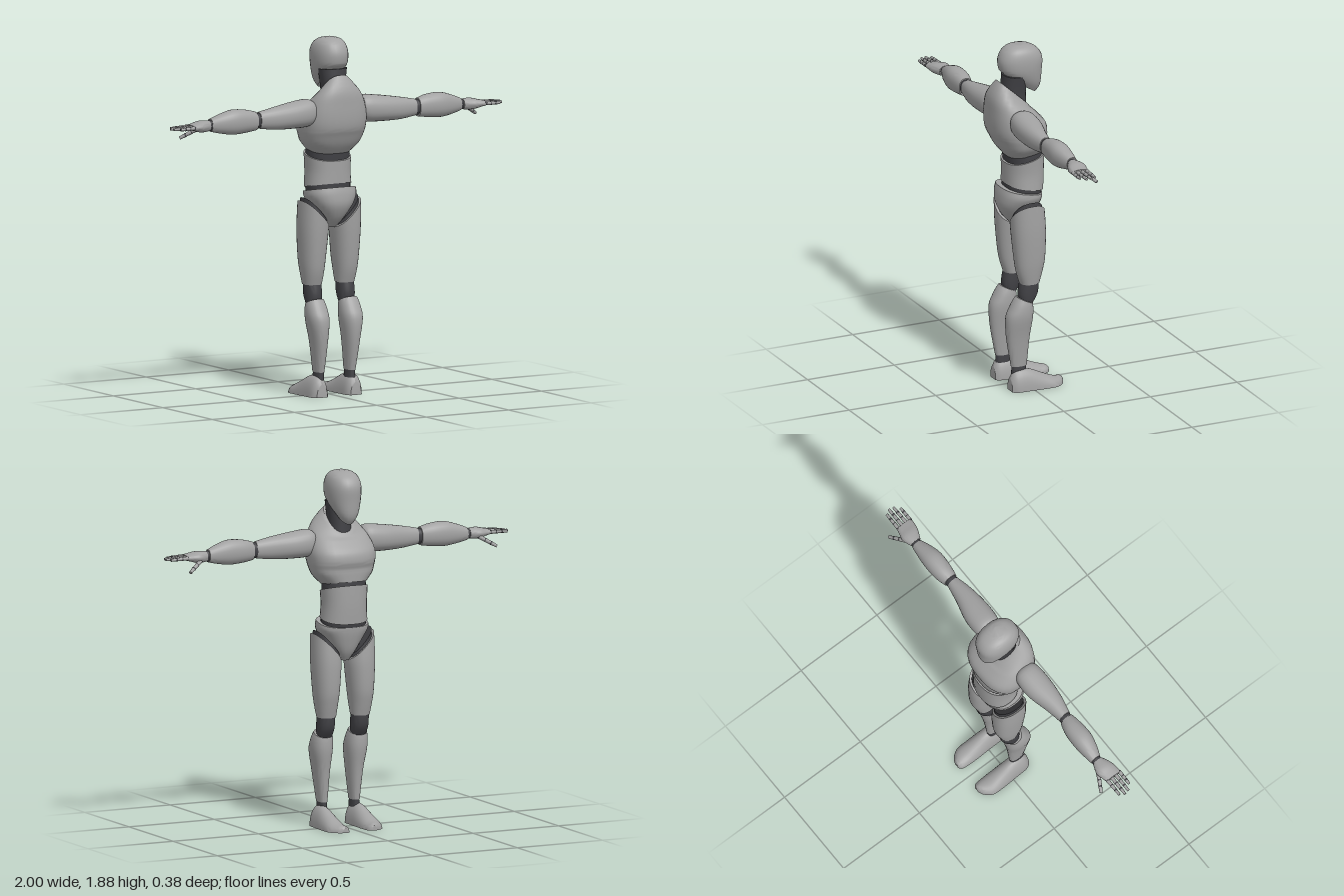
import * as THREE from 'three';
import { toCreasedNormals } from 'three/addons/utils/BufferGeometryUtils.js';

const shell = new THREE.MeshStandardMaterial({ color: 0xa2a2a2 });
shell.name = 'shellGrey';
const joint = new THREE.MeshStandardMaterial({ color: 0x414145 });
joint.name = 'jointDarkGrey';

// Where (pos, a, b) of a cross-section go for each loft axis
const AXES = { x: (p, a, b) => [p, b, a], y: (p, a, b) => [a, p, b], z: (p, a, b) => [b, a, p] };

// Catmull-Rom blend of one column of the section table
function blend(rows, k, i, t) {
  const v = j => rows[Math.min(Math.max(j, 0), rows.length - 1)][k] ?? 0;
  const p0 = v(i - 1), p1 = v(i), p2 = v(i + 1), p3 = v(i + 2);
  const m1 = (p2 - p0) / 2, m2 = (p3 - p1) / 2;
  return p1 + t * (m1 + t * (3 * (p2 - p1) - 2 * m1 - m2 + t * (2 * (p1 - p2) + m1 + m2)));
}

// Smooth loft; each row is [pos, aMin, aMax, bMin, bMax, tiltA, tiltB], pos ascending
function loft(axis, rows, { power = 2.3, floor = false } = {}) {
  const steps = 4, sides = 28, pos = [], idx = [], rings = (rows.length - 1) * steps + 1;
  for (let r = 0; r < rings; r++) {
    const i = Math.min(Math.floor(r / steps), rows.length - 2), t = r / steps - i;
    const [p, a0, a1, b0, b1, ta, tb] = [0, 1, 2, 3, 4, 5, 6].map(k => blend(rows, k, i, t));
    for (let s = 0; s < sides; s++) {
      const c = Math.cos(s / sides * Math.PI * 2), n = Math.sin(s / sides * Math.PI * 2);
      const da = Math.sign(c) * Math.abs(c) ** (2 / power) * (a1 - a0) / 2;
      const db = Math.sign(n) * Math.abs(n) ** (2 / power) * (b1 - b0) / 2;
      const v = AXES[axis](p + ta * da + tb * db, (a0 + a1) / 2 + da, (b0 + b1) / 2 + db);
      if (floor) v[1] = Math.max(v[1], 0);
      pos.push(...v);
    }
  }
  for (let r = 0; r < rings - 1; r++) for (let s = 0; s < sides; s++) {
    const a = r * sides + s, b = r * sides + (s + 1) % sides;
    idx.push(a, a + sides, b, b, a + sides, b + sides);
  }
  const last = (rings - 1) * sides;
  for (let s = 1; s < sides - 1; s++) idx.push(0, s, s + 1, last, last + s + 1, last + s);
  const g = new THREE.BufferGeometry();
  g.setAttribute('position', new THREE.Float32BufferAttribute(pos, 3));
  g.setIndex(idx);
  return toCreasedNormals(g, 0.8);
}

// Mirror a geometry in x, keeping its faces outward
function mirrored(geometry) {
  const g = geometry.index ? geometry.toNonIndexed() : geometry.clone();
  g.scale(-1, 1, 1);
  for (const { array, count, itemSize: n } of Object.values(g.attributes)) {
    for (let i = 0; i < count; i += 3) for (let k = 0; k < n; k++) {
      const u = (i + 1) * n + k, w = (i + 2) * n + k;
      [array[u], array[w]] = [array[w], array[u]];
    }
  }
  return g;
}

// Tapered rod between two points
function rod(from, to, r0, r1) {
  const d = new THREE.Vector3(...to).sub(new THREE.Vector3(...from));
  const g = new THREE.CylinderGeometry(r1, r0, d.length(), 10);
  g.translate(0, d.length() / 2, 0);
  g.applyQuaternion(new THREE.Quaternion().setFromUnitVectors(new THREE.Vector3(0, 1, 0), d.normalize()));
  return g.translate(...from);
}

export function createModel() {
  const model = new THREE.Group();
  model.name = 'mannequin';
  const add = (name, geometry, material) => {
    const m = new THREE.Mesh(geometry, material);
    m.name = name;
    model.add(m);
  };
  // The figure looks toward -z, so its +x limbs are built first and mirrored
  const pair = (name, geometry, material) => {
    add(name + 'Left', geometry, material);
    add(name + 'Right', mirrored(geometry), material);
  };

  // Head and neck
  add('head', loft('y', [
    [1.65, -.04, .04, -.07, .08, 0, .6], [1.69, -.068, .068, -.095, .115, 0, .4],
    [1.74, -.084, .084, -.102, .13, 0, .1], [1.80, -.087, .087, -.105, .135],
    [1.845, -.077, .077, -.083, .117], [1.87, -.056, .056, -.045, .088], [1.88, -.028, .028, -.01, .055],
  ]), shell);
  add('neck', loft('y', [
    [1.5, -.065, .065, -.015, .12], [1.6, -.06, .06, -.012, .12], [1.72, -.078, .078, -.01, .11],
  ]), joint);

  // Torso
  add('chest', loft('y', [
    [1.29, -.115, .115, -.10, .10, 0, -.15], [1.335, -.157, .157, -.1, .138, 0, -.1],
    [1.375, -.172, .172, -.1, .165], [1.41, -.178, .178, -.11, .182], [1.46, -.18, .18, -.1, .19],
    [1.52, -.165, .165, -.06, .19, 0, .1], [1.57, -.135, .135, -.04, .182, 0, .4],
    [1.62, -.07, .07, -.02, .14, 0, .9],
  ], { power: 2.6 }), shell);
  add('spineJoint', loft('y', [
    [1.2, -.11, .11, -.09, .09], [1.25, -.117, .117, -.095, .095, 0, -.2], [1.32, -.115, .115, -.09, .1, 0, -.2],
  ]), joint);
  add('abdomen', loft('y', [
    [1.10, -.125, .125, -.10, .105, 0, .18], [1.18, -.12, .12, -.105, .105], [1.262, -.125, .125, -.105, .105, 0, -.25],
  ]), shell);
  add('waistJoint', loft('y', [
    [1.05, -.118, .118, -.085, .1, 0, .18], [1.12, -.12, .12, -.095, .1, 0, .18],
  ]), joint);
  add('pelvis', loft('y', [
    [.882, -.025, .025, -.03, .055], [.93, -.06, .06, -.06, .105], [1.0, -.108, .108, -.08, .14],
    [1.05, -.136, .136, -.088, .14, 0, .08], [1.082, -.136, .136, -.09, .13, 0, .18],
  ], { power: 2.5 }), shell);

  // Legs
  pair('hipJoint', loft('y', [
    [.93, .03, .16, -.065, .1, 1.05], [.975, .03, .158, -.06, .095, 1.1],
  ]), joint);
  pair('thigh', loft('y', [
    [.585, .05, .147, -.045, .06], [.65, .043, .157, -.062, .08], [.725, .035, .165, -.076, .092],
    [.86, .025, .173, -.08, .105, .3], [.955, .022, .171, -.073, .11, 1],
  ]), shell);
  pair('kneeJoint', loft('y', [
    [.47, .06, .138, 0, .06], [.53, .054, .144, -.036, .07], [.61, .055, .143, -.04, .055],
  ]), joint);
  pair('shin', loft('y', [
    [.13, .072, .117, .022, .11], [.29, .058, .137, .008, .137], [.40, .045, .157, -.007, .14],
    [.46, .046, .157, -.007, .115], [.495, .052, .15, -.005, .08, 0, .45],
  ]), shell);
  pair('ankleJoint', loft('y', [[.09, .072, .118, .024, .108], [.14, .075, .114, .026, .106]]), joint);
  pair('foot', loft('z', [
    [-.187, -.026, .026, .07, .1], [-.172, -.036, .036, .055, .128], [-.13, -.045, .045, .05, .158],
    [-.06, -.075, .075, .05, .16], [.02, -.11, .11, .053, .156], [.09, -.108, .108, .055, .152],
    [.12, -.07, .07, .07, .135],
  ], { floor: true, power: 2 }), shell);

  // Arms
  pair('upperArm', loft('x', [
    [.14, .03, .135, 1.46, 1.555], [.175, .01, .15, 1.43, 1.572], [.27, .012, .155, 1.425, 1.562],
    [.38, .04, .145, 1.428, 1.545], [.473, .058, .125, 1.44, 1.527],
  ]), shell);
  pair('elbowJoint', loft('x', [[.46, .058, .122, 1.443, 1.522], [.51, .056, .124, 1.442, 1.524]]), joint);
  pair('forearm', loft('x', [
    [.492, .052, .128, 1.433, 1.53], [.55, .036, .136, 1.425, 1.545], [.63, .032, .14, 1.42, 1.55],
    [.70, .038, .125, 1.43, 1.532], [.757, .046, .104, 1.443, 1.51],
  ]), shell);
  pair('wristJoint', loft('x', [[.75, .05, .102, 1.447, 1.505], [.785, .05, .102, 1.45, 1.5]]), joint);
  pair('palm', loft('x', [
    [.77, .047, .108, 1.448, 1.503], [.82, .03, .13, 1.445, 1.505], [.86, .038, .137, 1.455, 1.496],
    [.888, .044, .138, 1.462, 1.49],
  ]), shell);

  // Digits: three shell segments with dark knuckles
  const digit = (name, from, to, r) => {
    const at = t => from.map((v, i) => v + (to[i] - v) * t);
    for (let i = 0; i < 3; i++) {
      pair(name + 'Segment' + (i + 1), rod(at((i + .12) / 3), at((i + 1) / 3), r - i * .001, r - .0015 - i * .001), shell);
      pair(name + 'Knuckle' + (i + 1), new THREE.SphereGeometry(r * .9, 10, 8).translate(...at(i / 3 + .01)), joint);
    }
  };
  [.985, 1, .995, .968].forEach((tip, i) => {
    const z = .053 + i * .026;
    digit('finger' + (i + 1), [.885, 1.477, z], [tip, 1.474, z], .0105);
  });
  digit('thumb', [.815, 1.46, .045], [.898, 1.41, 0], .012);

  return model;
}
